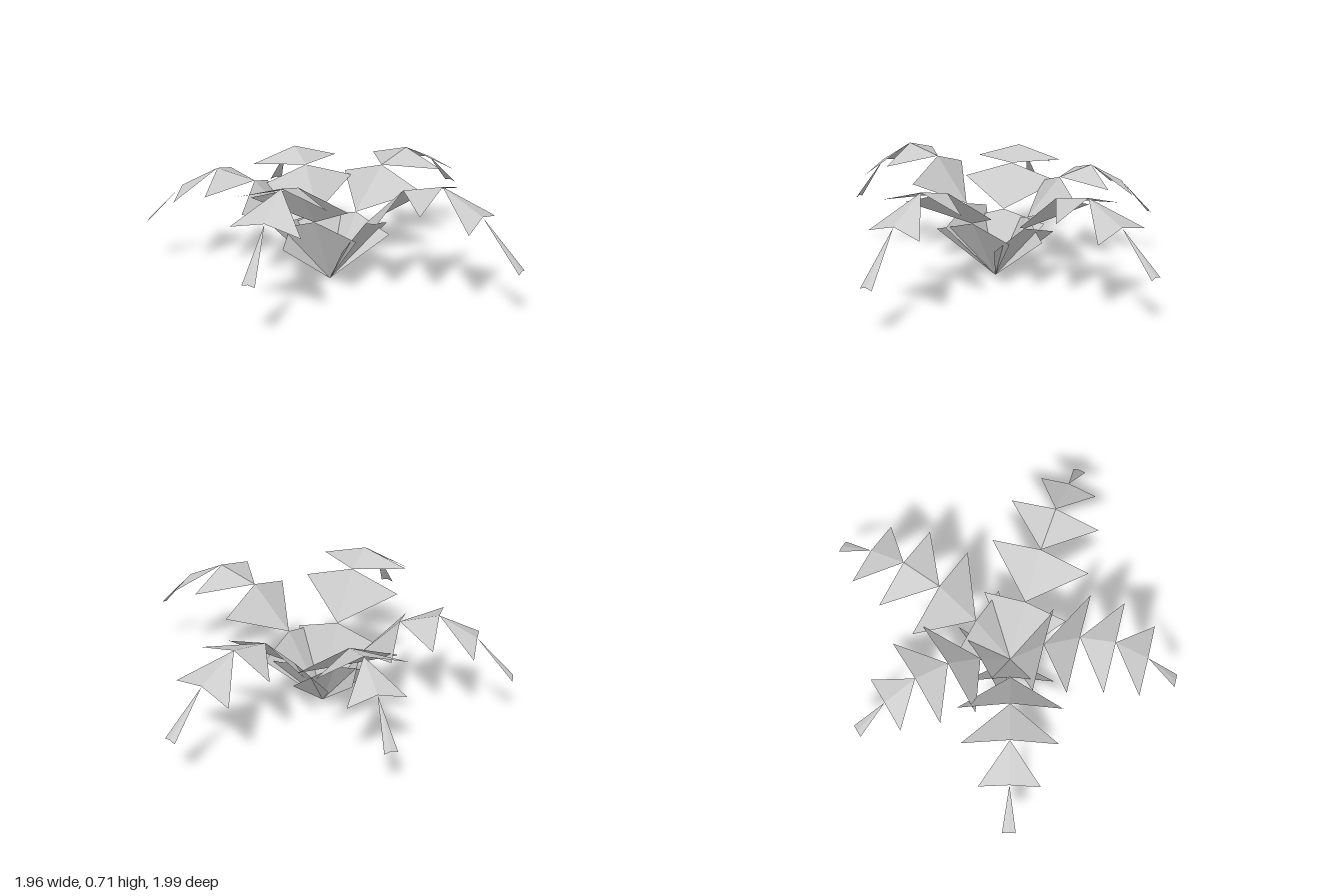
import * as THREE from 'three';

const ROOT = new THREE.Vector3(-0.13, 0, -0.1);
const HALF_WIDTHS = [0.24, 0.277, 0.25, 0.16, 0.036];
const SIDE_DROPS = [0.075, 0.095, 0.08, 0.045, 0.01];

// Tip position, height of each spine joint, half-width of the fourth leaflet
const FRONDS = [
  { name: 'frontFrond', tip: [0.19, 0.98], heights: [0, 0.37, 0.6, 0.66, 0.54, 0.295], fourth: 0.16 },
  { name: 'leftFrond', tip: [0.975, -0.215], heights: [0, 0.33, 0.55, 0.6, 0.49, 0.285], fourth: 0.19 },
  { name: 'rightFrond', tip: [-0.97, 0.255], heights: [0, 0.4, 0.655, 0.71, 0.59, 0.345], fourth: 0.195 },
  { name: 'backLeftFrond', tip: [0.223, -0.985], heights: [0, 0.325, 0.545, 0.6, 0.49, 0.285], fourth: 0.16 },
  { name: 'backRightFrond', tip: [-0.745, -0.925], heights: [0, 0.33, 0.55, 0.61, 0.5, 0.29], fourth: 0.16 },
];

// Leaflet: two triangles folded along the spine, pointed end towards the root
function leaflet(start, end, side, halfWidth, drop) {
  const left = end.clone().addScaledVector(side, -halfWidth);
  const right = end.clone().addScaledVector(side, halfWidth);
  left.y -= drop;
  right.y -= drop;
  const geometry = new THREE.BufferGeometry().setFromPoints([start, end, left, start, right, end]);
  geometry.computeVertexNormals();
  return geometry;
}

function makeFrond({ name, tip, heights, fourth }, material) {
  const frond = new THREE.Group();
  frond.name = name;
  const run = new THREE.Vector3(tip[0] - ROOT.x, 0, tip[1] - ROOT.z);
  const side = new THREE.Vector3(-run.z, 0, run.x).normalize();
  const joints = heights.map((h, i) => {
    const p = ROOT.clone().addScaledVector(run, i / 5);
    p.y = h;
    return p;
  });

  for (let i = 0; i < 5; i++) {
    const halfWidth = i === 3 ? fourth : HALF_WIDTHS[i];
    const mesh = new THREE.Mesh(leaflet(joints[i], joints[i + 1], side, halfWidth, SIDE_DROPS[i]), material);
    mesh.name = i === 4 ? 'frondTip' : 'leaflet';
    frond.add(mesh);
  }
  return frond;
}

export function createModel() {
  const plant = new THREE.Group();
  plant.name = 'fern';
  const material = new THREE.MeshStandardMaterial({ color: 0xcccccc, flatShading: true, side: THREE.DoubleSide });
  for (const spec of FRONDS) plant.add(makeFrond(spec, material));
  return plant;
}
